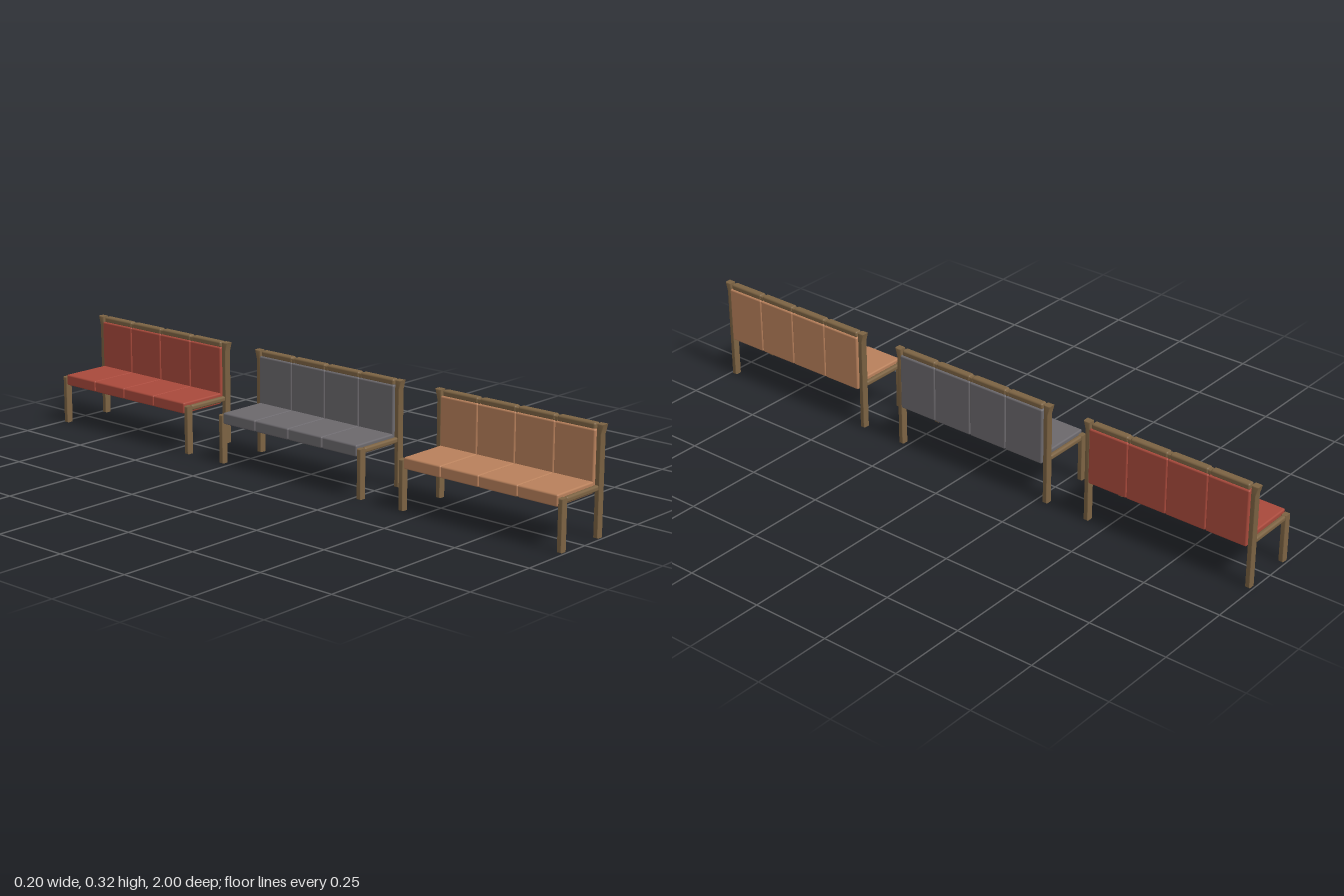
import * as THREE from 'three';
import { RoundedBoxGeometry } from 'three/addons/geometries/RoundedBoxGeometry.js';
import { toCreasedNormals } from 'three/addons/utils/BufferGeometryUtils.js';

const PANELS = 4;
const PITCH = 0.134;   // width of one upholstered panel
const POST_Z = 0.277;  // post centre, from the bench centre
const BEVEL = 0.004;

const wood = new THREE.MeshStandardMaterial({ color: 0x7c6343 });

function add(group, name, geometry, material, x, y, z) {
  const mesh = new THREE.Mesh(geometry, material);
  mesh.name = name;
  mesh.position.set(x, y, z);
  group.add(mesh);
}

// Rounded block given by its x and y extents and its length along z
function block(group, name, material, [x0, x1], [y0, y1], z, length, radius) {
  const geometry = new RoundedBoxGeometry(x1 - x0, y1 - y0, length, 3, radius);
  add(group, name, geometry, material, (x0 + x1) / 2, (y0 + y1) / 2, z);
}

// Bevelled wooden piece: a (z, y) outline extruded along x
function woodPiece(points, width) {
  const shape = new THREE.Shape(points.map(([z, y]) => new THREE.Vector2(z, y)));
  const depth = width - 2 * BEVEL;
  const geometry = new THREE.ExtrudeGeometry(shape, {
    depth, bevelSize: BEVEL, bevelOffset: -BEVEL, bevelThickness: BEVEL, bevelSegments: 3,
  });
  geometry.translate(0, 0, -depth / 2).rotateY(-Math.PI / 2);
  return toCreasedNormals(geometry, 0.7);
}

function bench(color) {
  const group = new THREE.Group();
  const fabric = new THREE.MeshStandardMaterial({ color });

  // End frames: short front leg, tall back post with flared top, side rail
  for (const s of [-1, 1]) {
    const leg = [[-0.008, 0], [0.008, 0], [0.008, 0.152], [-0.008, 0.152]];
    const post = [[-0.008, 0], [0.008, 0], [0.008, 0.295], [0.0155, 0.3245], [-0.007, 0.3245], [-0.008, 0.295]];
    const mirror = (points) => points.map(([z, y]) => [z * s, y]);
    add(group, 'frontLeg', woodPiece(mirror(leg), 0.024), wood, -0.087, 0, s * POST_Z);
    add(group, 'backPost', woodPiece(mirror(post), 0.024), wood, 0.081, 0, s * POST_Z);
    block(group, 'sideRail', wood, [-0.077, 0.071], [0.136, 0.153], s * POST_Z, 0.015, 0.006);
  }

  // Upholstered panels, each with its own piece of top rail
  for (let i = 0; i < PANELS; i++) {
    const z = (i - (PANELS - 1) / 2) * PITCH;
    block(group, 'seatCushion', fabric, [-0.098, 0.068], [0.126, 0.161], z, PITCH, 0.005);
    block(group, 'backCushion', fabric, [0.064, 0.098], [0.13, 0.308], z, PITCH, 0.005);
    block(group, 'topRail', wood, [0.069, 0.093], [0.305, 0.3245], z, PITCH - 0.008, 0.006);
  }

  // Small wedge joints between the top rail pieces
  for (let i = 1; i < PANELS; i++) {
    const z = (i - PANELS / 2) * PITCH;
    const wedge = [[-0.005, 0.3], [0.005, 0.3], [0.008, 0.321], [-0.008, 0.321]];
    add(group, 'railJoint', woodPiece(wedge, 0.021), wood, 0.081, 0, z);
  }
  return group;
}

export function createModel() {
  const model = new THREE.Group();
  model.name = 'benchRow';
  const benches = [
    ['tanBench', 0xb8805b, 0.7075],
    ['greyBench', 0x6b686c, -0.004],
    ['redBench', 0xa8493b, -0.7075],
  ];
  for (const [name, color, z] of benches) {
    const b = bench(color);
    b.name = name;
    b.position.z = z;
    model.add(b);
  }
  return model;
}
